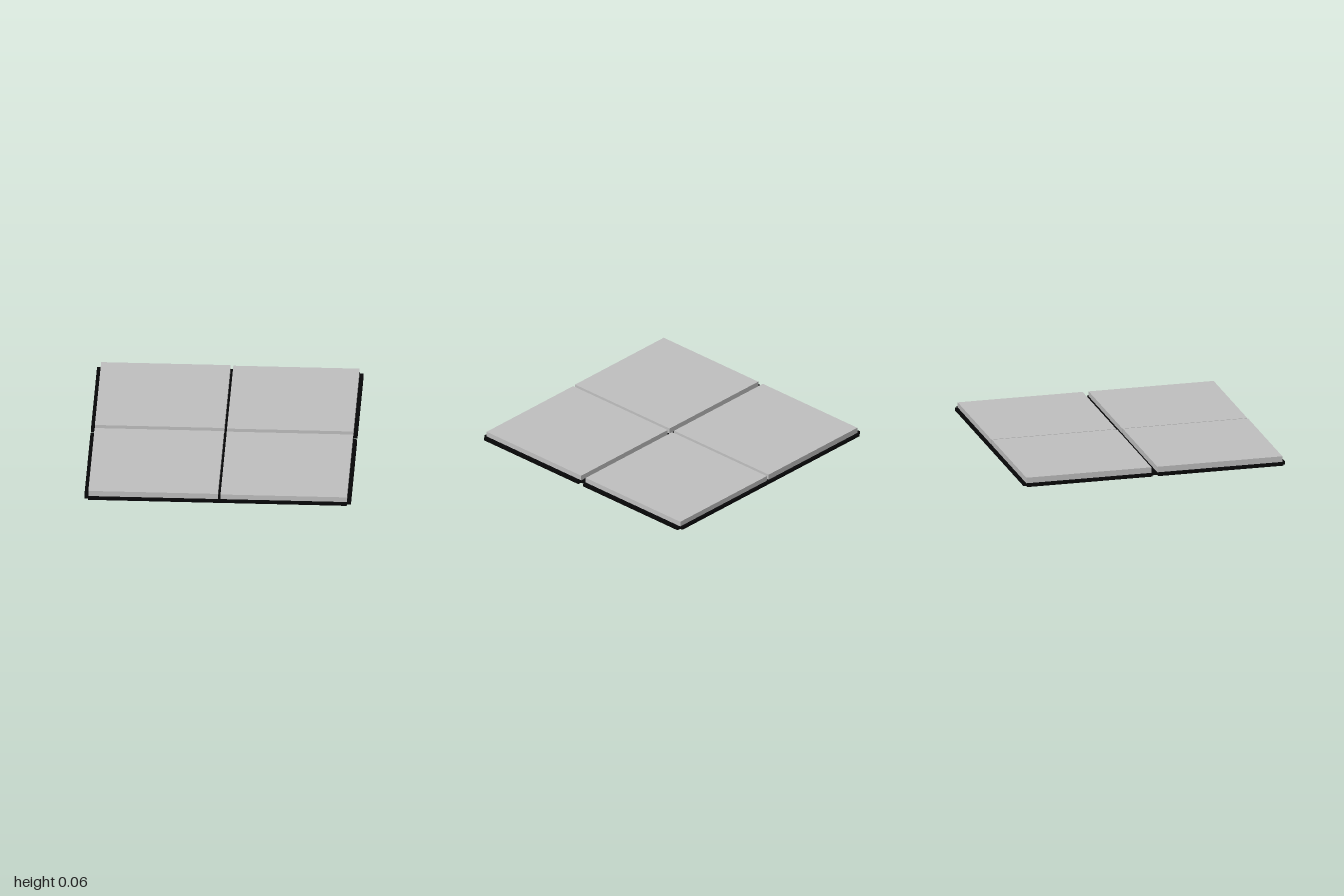
import * as THREE from 'three';

export function createModel() {
  const model = new THREE.Group();
  const grey = new THREE.MeshStandardMaterial({ color: 0xc0c0c0, side: THREE.DoubleSide });
  grey.name = 'panelGrey';
  const black = new THREE.MeshStandardMaterial({ color: 0x060607 });
  black.name = 'edgeBlack';

  // box given by its limits on each axis
  function box(name, material, [x0, x1], [y0, y1], [z0, z1], openBelow = false) {
    const geometry = new THREE.BoxGeometry(x1 - x0, y1 - y0, z1 - z0);
    if (openBelow) {
      // leave out the bottom face, making a hollow tray turned upside down
      const index = Array.from(geometry.index.array);
      index.splice(18, 6);
      geometry.setIndex(index);
      geometry.clearGroups();
    }
    const mesh = new THREE.Mesh(geometry, material);
    mesh.name = name;
    mesh.position.set((x0 + x1) / 2, (y0 + y1) / 2, (z0 + z1) / 2);
    model.add(mesh);
  }

  const columns = [
    { side: 'right', x: [-0.955, 0], top: 0.063 },
    { side: 'left', x: [0.02, 0.952], top: 0.059 },
  ];
  const rows = [
    { end: 'Back', z: [-0.978, -0.023] },
    { end: 'Front', z: [0.023, 0.978] },
  ];
  const low = [0, 0.02];

  for (const { end, z } of rows) {
    // four hollow tiles
    for (const { side, x, top } of columns) {
      box(side + end + 'Tile', grey, x, [0.006, top], z, true);
    }
    // edging along the sides and between the tiles of a row
    box('right' + end + 'Edging', black, [-0.985, -0.955], low, z);
    box('middle' + end + 'Edging', black, [0, 0.02], low, z);
    box('left' + end + 'Edging', black, [0.952, 0.982], low, z);
  }

  // edging across the width
  box('backEdging', black, [-0.955, 0.952], low, [-1, -0.978]);
  box('centreEdging', black, [-0.955, 0.952], low, [-0.023, 0.023]);
  box('frontEdging', black, [-0.955, 0.952], low, [0.978, 1]);

  return model;
}
